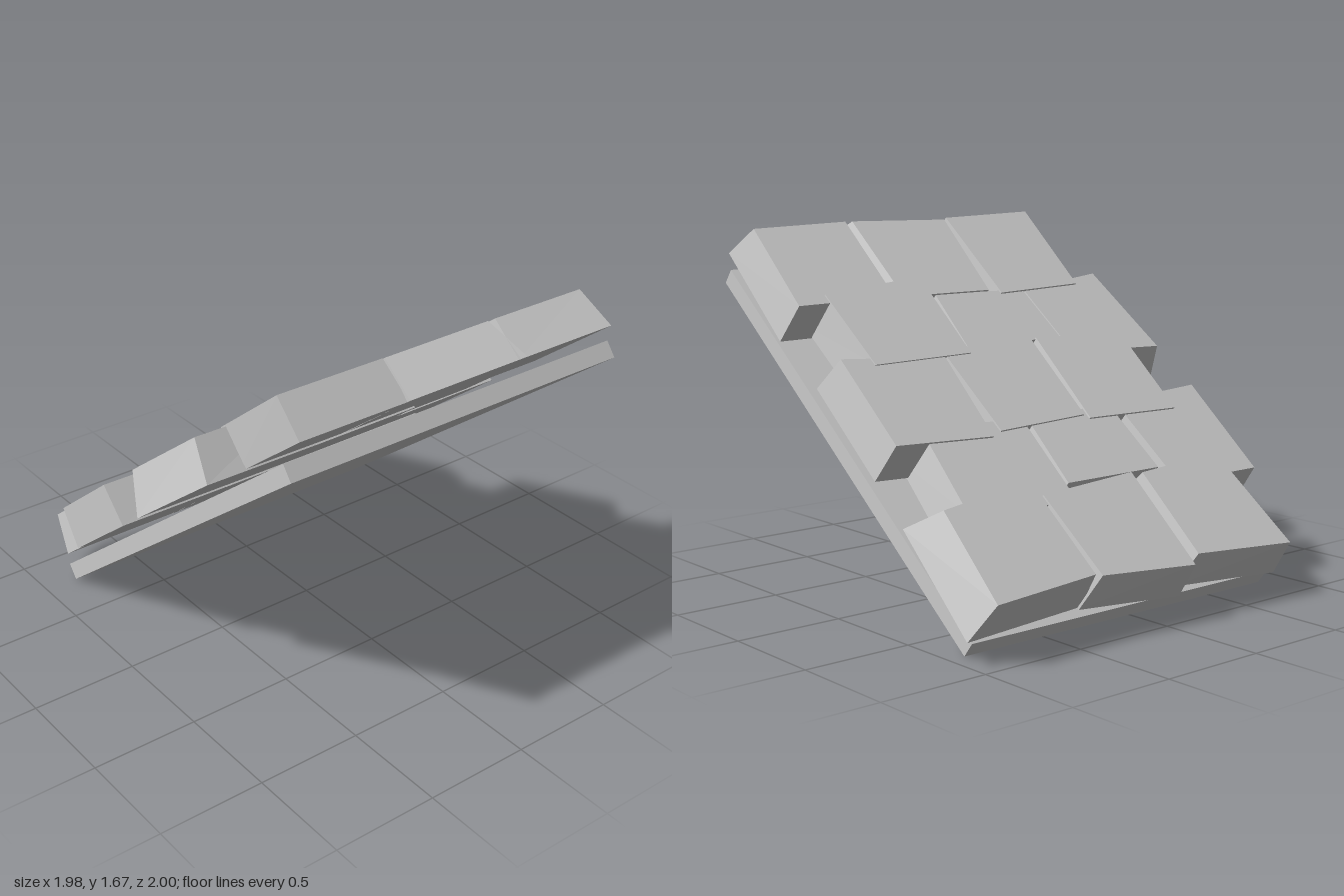
import * as THREE from 'three';

const SLOPE = 0.664;                 // tilt of the whole panel
const RISE = Math.tan(SLOPE);
const THICK = 0.2;
const FLARE = [0.02, 0.01, 0.03, 0.02];

// Top corners of each tile as x, z: back-left, back-right, front-right, front-left.
// Optional flare widens the underside at [-x, back, +x, front].
const ROWS = [
  [
    { top: [-0.79, -1, -0.23, -0.96, -0.26, -0.58, -0.77, -0.55] },
    { top: [-0.17, -1, 0.34, -0.96, 0.35, -0.6, -0.2, -0.57] },
    { top: [0.37, -0.95, 0.92, -0.98, 0.88, -0.59, 0.37, -0.53], flare: [0.02, 0.01, 0.063, 0.07] },
  ],
  [
    { top: [-0.945, -0.64, -0.43, -0.64, -0.42, -0.23, -0.97, -0.2], flare: [0, 0.01, 0.03, 0.02] },
    { top: [-0.38, -0.56, 0.17, -0.56, 0.14, -0.25, -0.37, -0.24] },
    { top: [0.19, -0.64, 0.77, -0.62, 0.72, -0.23, 0.17, -0.25] },
  ],
  [
    { top: [-0.74, -0.31, -0.2, -0.3, -0.235, 0.12, -0.77, 0.1] },
    { top: [-0.18, -0.28, 0.33, -0.3, 0.34, 0.1, -0.2, 0.13] },
    { top: [0.39, -0.32, 0.9, -0.3, 0.89, 0.11, 0.35, 0.07] },
  ],
  [
    { top: [-0.95, 0.02, -0.4, 0.04, -0.39, 0.39, -0.91, 0.45], flare: [0.045, 0.03, 0.03, 0.025] },
    { top: [-0.39, 0.12, 0.18, 0.12, 0.15, 0.4, -0.38, 0.39] },
    { top: [0.2, 0.07, 0.74, 0.06, 0.755, 0.42, 0.18, 0.48], lift: 0.012 },
  ],
  [
    { top: [-0.74, 0.39, -0.235, 0.37, -0.24, 0.81, -0.78, 0.83], flare: [0, 0.01, 0.02, 0.02] },
    { top: [-0.17, 0.39, 0.34, 0.39, 0.33, 0.81, -0.22, 0.8], flare: [0.01, 0.01, 0.07, 0.05] },
    { top: [0.39, 0.39, 0.92, 0.38, 0.89, 0.79, 0.37, 0.81], flare: [0.02, 0.01, 0.03, 0.05] },
  ],
];

// Moves the eight corners of a box onto the tile's top quad and flared underside
function tileGeometry({ top, flare = FLARE, lift }) {
  const geo = new THREE.BoxGeometry(1, 1, 1).toNonIndexed();
  const p = geo.attributes.position;
  for (let i = 0; i < p.count; i++) {
    const right = p.getX(i) > 0, front = p.getZ(i) > 0, under = p.getY(i) < 0;
    const c = front ? (right ? 2 : 3) : (right ? 1 : 0);
    let x = top[c * 2], z = top[c * 2 + 1];
    if (under) {
      x += right ? flare[2] : -flare[0];
      z += front ? flare[3] : -flare[1];
    }
    let y = 1.02 + RISE * z + lift;
    if (under) {
      y -= THICK * Math.cos(SLOPE);
      z += THICK * Math.sin(SLOPE);
    }
    p.setXYZ(i, x, y, z);
  }
  geo.computeVertexNormals();
  return geo;
}

export function createModel() {
  const group = new THREE.Group();
  group.name = 'tiledSlope';
  const stone = new THREE.MeshStandardMaterial({ color: 0xcccccc });
  stone.name = 'lightGrey';

  // Sloping backing board
  const board = new THREE.Mesh(new THREE.BoxGeometry(1.76, 0.08, 2.245), stone);
  board.name = 'backingBoard';
  board.position.set(0.04, 0.725, 0.09);
  board.rotation.x = -SLOPE;
  group.add(board);

  // Staggered rows of uneven tiles, alternate rows sitting slightly lower
  ROWS.forEach((row, r) => {
    const rowGroup = new THREE.Group();
    rowGroup.name = `tileRow${r + 1}`;
    row.forEach((tile, i) => {
      const lift = tile.lift ?? (r % 2 ? -0.005 : 0.005);
      const mesh = new THREE.Mesh(tileGeometry({ ...tile, lift }), stone);
      mesh.name = `tile${r + 1}_${i + 1}`;
      rowGroup.add(mesh);
    });
    group.add(rowGroup);
  });
  return group;
}
